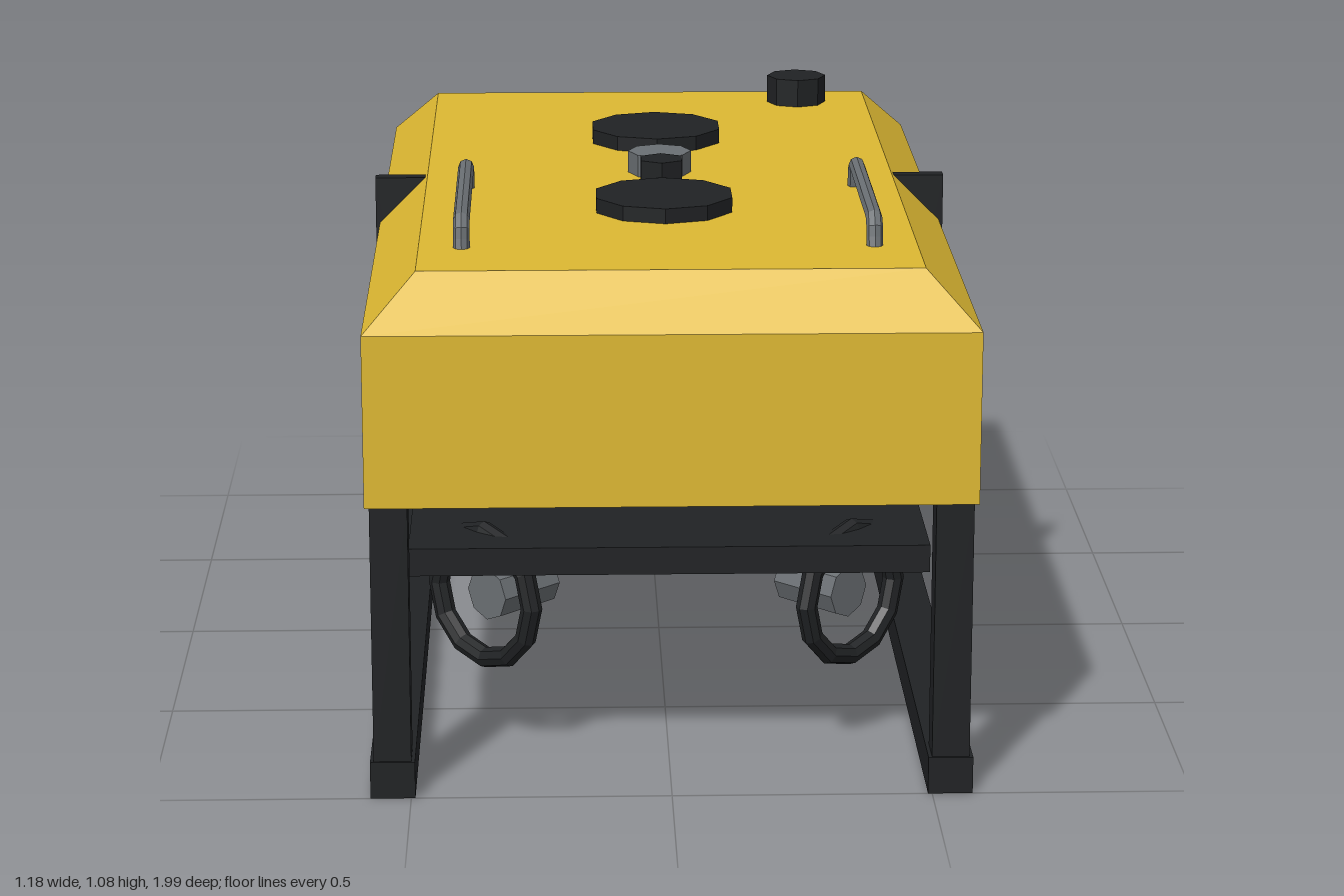
import * as THREE from 'three';

const mat = (color) => new THREE.MeshStandardMaterial({ color, flatShading: true });

export function createModel() {
  const model = new THREE.Group();
  const yellow = mat(0xddb832), dark = mat(0x202224), grey = mat(0x6a6f73), navy = mat(0x1f2f38);

  const add = (name, geometry, material, parent = model) => {
    const mesh = new THREE.Mesh(geometry, material);
    mesh.name = name;
    parent.add(mesh);
    return mesh;
  };
  // Box given by its extents on each axis
  const box = (name, x0, x1, y0, y1, z0, z1, material) => {
    const mesh = add(name, new THREE.BoxGeometry(x1 - x0, y1 - y0, z1 - z0), material);
    mesh.position.set((x0 + x1) / 2, (y0 + y1) / 2, (z0 + z1) / 2);
    return mesh;
  };
  // Upright round lid standing on the tank top
  const lid = (name, x, z, r, top, sides, material) => {
    const base = 1.005;
    add(name, new THREE.CylinderGeometry(r, r, top - base, sides), material)
      .position.set(x, (top + base) / 2, z);
  };
  // Round bar through straight segments
  const pipe = (name, points, r, sides, material) => {
    const path = new THREE.CurvePath();
    const v = points.map((p) => new THREE.Vector3(...p));
    for (let i = 1; i < v.length; i++) path.add(new THREE.LineCurve3(v[i - 1], v[i]));
    const curve = new THREE.CatmullRomCurve3(path.getSpacedPoints(24), false, 'centripetal');
    const group = new THREE.Group();
    group.name = name;
    model.add(group);
    add(name + 'Bar', new THREE.TubeGeometry(curve, 28, r, sides), material, group);
    // Close both ends
    for (const p of [v[0], v[v.length - 1]]) {
      add(name + 'End', new THREE.SphereGeometry(r * 0.98, sides, 6), material, group).position.copy(p);
    }
  };

  // Tank: box body and a bevelled top
  const midZ = 0.0575, halfZ = 0.9425;
  box('tankBody', -0.58, 0.58, 0.58, 0.915, midZ - halfZ, midZ + halfZ, yellow);
  const top = new THREE.BoxGeometry(1.16, 0.1, 2 * halfZ);
  const pos = top.attributes.position;
  for (let i = 0; i < pos.count; i++) {
    if (pos.getY(i) > 0) {
      pos.setX(i, Math.sign(pos.getX(i)) * 0.48);
      pos.setZ(i, Math.sign(pos.getZ(i)) * (halfZ - 0.1));
    }
  }
  top.computeVertexNormals();
  add('tankTop', top, yellow).position.set(0, 0.965, midZ);

  // Lids and caps on the tank
  lid('rearHatch', 0, -0.274, 0.142, 1.045, 10, dark);
  lid('frontHatch', 0, 0.383, 0.142, 1.045, 10, dark);
  lid('ventCap', 0, 0.052, 0.065, 1.06, 8, grey);
  lid('valveCap', 0, 0.195, 0.048, 1.075, 6, dark);
  lid('fillerCap', 0.325, -0.67, 0.065, 1.075, 8, dark);

  // Parts mirrored left and right
  for (const s of [1, -1]) {
    const side = s > 0 ? 'left' : 'right';

    // Grab handle
    pipe(side + 'Handle', [[0.397 * s, 1.01, 0.715], [0.397 * s, 1.065, 0.7],
      [0.397 * s, 1.065, 0.205], [0.397 * s, 1.01, 0.19]], 0.016, 8, grey);

    // Strap with a gusset over the bevel
    const strap = new THREE.Shape([[0.588, 0.6], [0.588, 1.01], [0.48, 1.01], [0.57, 0.91], [0.57, 0.6]]
      .map(([x, y]) => new THREE.Vector2(x, y)));
    const strapMesh = add(side + 'Strap',
      new THREE.ExtrudeGeometry(strap, { depth: 0.03, bevelEnabled: false }), dark);
    strapMesh.rotation.y = s > 0 ? 0 : Math.PI;
    strapMesh.position.z = s > 0 ? 0.043 : 0.073;

    // Skid rail and legs
    const x0 = Math.min(0.492 * s, 0.578 * s), x1 = Math.max(0.492 * s, 0.578 * s);
    box(side + 'Rail', x0, x1, 0, 0.073, -0.885, 1, dark);
    box(side + 'FrontLeg', x0 + 0.007, x1 - 0.007, 0.07, 0.585, 0.922, 0.995, dark);
    box(side + 'RearLeg', x0 + 0.007, x1 - 0.007, 0.07, 0.585, -0.88, -0.807, dark);

    // Rings with stub pipes, turned toward the corners
    for (const [end, z, d] of [['Front', 0.7, 1], ['Rear', -0.575, -1]]) {
      const corner = new THREE.Group();
      corner.name = side + end + 'Outlet';
      corner.position.set(0.36 * s, 0.31, z);
      corner.rotation.y = Math.atan2(s, d);
      model.add(corner);
      add('ring', new THREE.TorusGeometry(0.13, 0.021, 8, 12), dark, corner);
      const stub = add('stubPipe', new THREE.CylinderGeometry(0.053, 0.053, 0.15, 8), grey, corner);
      stub.rotation.x = Math.PI / 2;
      stub.position.z = -0.08;
    }
  }

  // Tray under the tank and rear bumper
  box('tray', -0.505, 0.505, 0.388, 0.443, -0.7, 0.82, dark);
  box('rearBumper', -0.54, 0.54, 0.11, 0.183, -0.945, -0.88, dark);

  // Rear manifold with outlets and a central valve
  box('manifold', -0.398, 0.398, 0.473, 0.545, -0.86, -0.785, grey);
  const outlet = (name, x, y, r, z0, z1, material) => {
    const mesh = add(name, new THREE.CylinderGeometry(r, r, z0 - z1, 8), material);
    mesh.rotation.x = Math.PI / 2;
    mesh.position.set(x, y, (z0 + z1) / 2);
  };
  for (const x of [-0.325, -0.19, 0.19, 0.325]) {
    outlet('outlet', x, 0.508, 0.032, -0.85, -0.908, grey);
  }
  outlet('centralValve', 0, 0.465, 0.072, -0.83, -0.912, navy);

  // Drain pipe with its end block
  pipe('drainPipe', [[0.352, 0.253, -0.53], [0.352, 0.253, -0.835],
    [0.275, 0.17, -0.97], [0.215, 0.09, -0.945]], 0.028, 8, grey);
  box('drainBlock', 0.178, 0.25, 0.03, 0.102, -0.98, -0.905, dark);

  return model;
}
